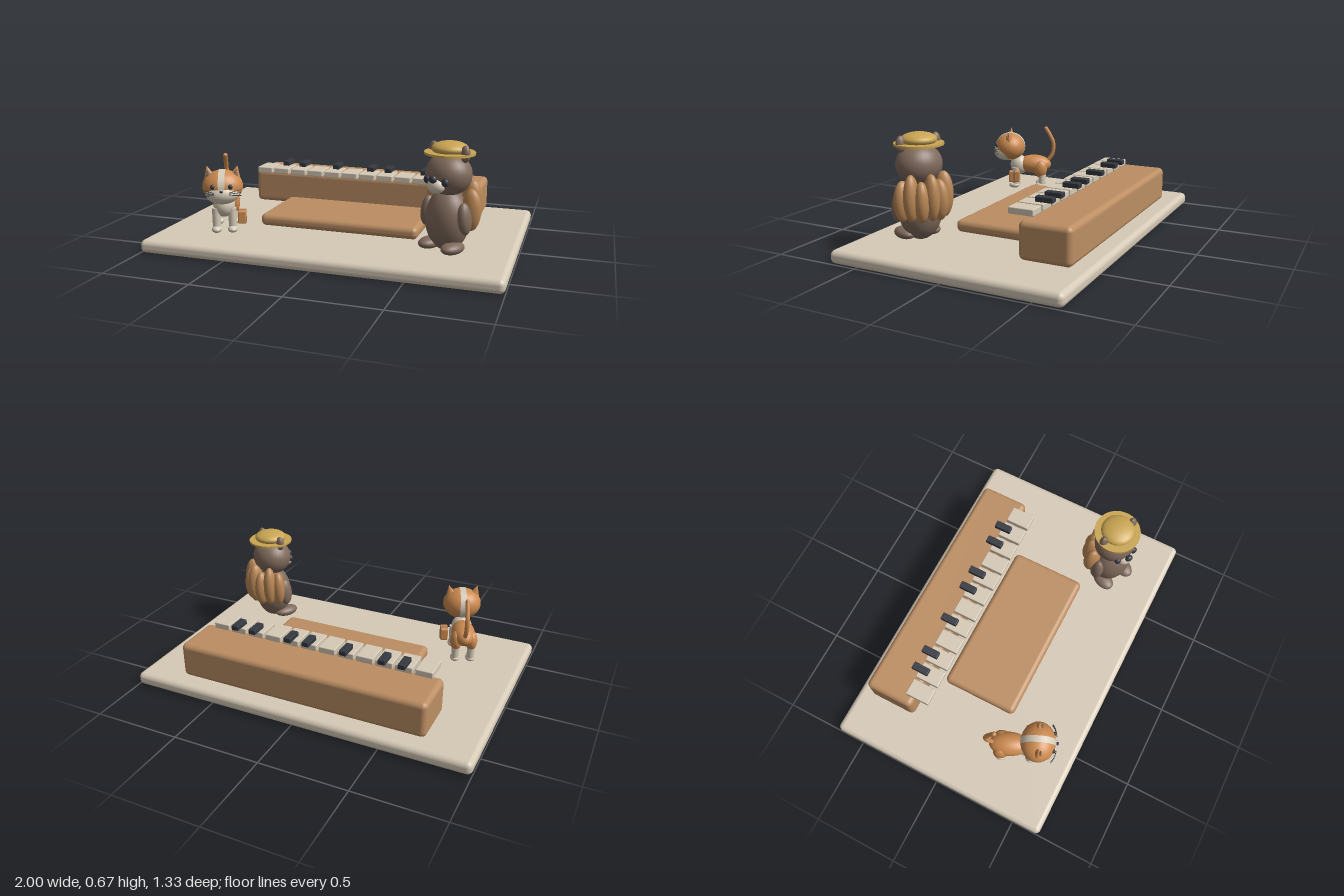
import * as THREE from 'three';
import { RoundedBoxGeometry } from 'three/addons/geometries/RoundedBoxGeometry.js';

function material(name, color) {
  const m = new THREE.MeshStandardMaterial({ color });
  m.name = name;
  return m;
}

export function createModel() {
  const cream = material('cream', 0xd6cab7);
  const wood = material('wood', 0xbc8e63);
  const ginger = material('ginger', 0xcc8a4f);
  const tan = material('tan', 0xb98755);
  const brown = material('brown', 0x806a5c);
  const straw = material('straw', 0xc9a552);
  const dark = material('dark', 0x353940);

  const root = new THREE.Group();
  root.name = 'pianoPlayground';

  const add = (parent, name, geometry, mat, pos = [0, 0, 0], rot = [0, 0, 0]) => {
    const mesh = new THREE.Mesh(geometry, mat);
    mesh.name = name;
    mesh.position.set(...pos);
    mesh.rotation.set(...rot);
    parent.add(mesh);
    return mesh;
  };
  const blob = (parent, name, mat, pos, radii, rot) => {
    const mesh = add(parent, name, new THREE.SphereGeometry(1, 28, 20), mat, pos, rot);
    mesh.scale.set(...radii);
    return mesh;
  };
  const box = (parent, name, mat, pos, size, radius, rot) =>
    add(parent, name, new RoundedBoxGeometry(...size, 4, radius), mat, pos, rot);
  const tube = (parent, name, mat, points, radius) =>
    add(parent, name, new THREE.TubeGeometry(
      new THREE.CatmullRomCurve3(points.map((p) => new THREE.Vector3(...p))), 24, radius, 10), mat);

  // Base slab, low bench and keyboard body
  box(root, 'base', cream, [0, 0.0375, 0], [2, 0.075, 1.33], 0.03);
  box(root, 'bench', wood, [0, 0.12, 0], [0.935, 0.07, 0.455], 0.03);
  box(root, 'keyboardBody', wood, [0, 0.19, -0.44], [1.46, 0.205, 0.29], 0.03);

  // Keys
  const keyX = (i) => -0.628 + i * 0.1123;
  for (let i = 0; i < 12; i++) {
    box(root, 'whiteKey', cream, [keyX(i), 0.315, -0.275], [0.097, 0.036, 0.142], 0.005);
  }
  for (const i of [1, 2, 4, 6, 7, 9, 10]) {
    box(root, 'blackKey', dark, [keyX(i), 0.348, -0.335], [0.042, 0.029, 0.1], 0.004);
  }

  // Cat, walking towards the front
  const cat = new THREE.Group();
  cat.name = 'cat';
  cat.position.set(-0.63, 0, 0.34);
  cat.rotation.y = 0.4;
  root.add(cat);
  blob(cat, 'catBody', ginger, [0, 0.245, -0.045], [0.068, 0.062, 0.115]);
  blob(cat, 'catChest', cream, [0, 0.24, 0.055], [0.06, 0.066, 0.06]);
  for (const s of [-1, 1]) {
    blob(cat, 'haunch', ginger, [s * 0.045, 0.22, -0.09], [0.034, 0.06, 0.045]);
    for (const z of [0.075, -0.1]) {
      add(cat, 'catLeg', new THREE.CylinderGeometry(0.024, 0.022, 0.13, 16), cream, [s * 0.045, 0.165, z]);
      blob(cat, 'catPaw', cream, [s * 0.045, 0.108, z + 0.01], [0.028, 0.02, 0.036]);
    }
  }
  tube(cat, 'catTail', ginger, [[0, 0.26, -0.13], [0, 0.32, -0.17], [0, 0.39, -0.175],
    [0, 0.45, -0.15], [0, 0.49, -0.125]], 0.013);
  blob(cat, 'tailTip', ginger, [0, 0.49, -0.125], [0.013, 0.013, 0.013]);

  // Satchel at the cat's side
  box(cat, 'satchel', ginger, [0.1, 0.18, 0.08], [0.045, 0.072, 0.07], 0.006);
  box(cat, 'satchelBand', brown, [0.1, 0.18, 0.08], [0.048, 0.075, 0.01], 0.002);

  const catHead = new THREE.Group();
  catHead.name = 'catHead';
  catHead.position.set(0, 0.365, 0.115);
  cat.add(catHead);
  blob(catHead, 'catSkull', ginger, [0, 0, 0], [0.112, 0.092, 0.098]);
  blob(catHead, 'catMuzzle', cream, [0, -0.032, 0.03], [0.094, 0.062, 0.08]);
  const stripe = add(catHead, 'headStripe', new THREE.CylinderGeometry(1, 1, 0.036, 40), cream,
    [0, 0, 0], [0, 0, Math.PI / 2]);
  stripe.scale.set(0.093, 1, 0.099);
  blob(catHead, 'catNose', dark, [0, -0.008, 0.107], [0.01, 0.007, 0.007]);
  for (const s of [-1, 1]) {
    add(catHead, 'catEar', new THREE.ConeGeometry(0.036, 0.075, 20), ginger, [s * 0.075, 0.08, 0], [0, 0, -s * 0.25])
      .scale.z = 0.6;
    add(catHead, 'innerEar', new THREE.ConeGeometry(0.022, 0.05, 16), brown, [s * 0.074, 0.076, 0.014], [0, 0, -s * 0.25])
      .scale.z = 0.5;
    blob(catHead, 'catEye', dark, [s * 0.048, 0.014, 0.087], [0.012, 0.015, 0.009]);
    for (const k of [-1, 0, 1]) {
      tube(catHead, 'whisker', dark, [[s * 0.04, -0.022 + k * 0.006, 0.102],
        [s * 0.075, -0.02 + k * 0.012, 0.093], [s * 0.105, -0.02 + k * 0.018, 0.075]], 0.002);
    }
  }

  // Round furry animal with a straw hat
  const bear = new THREE.Group();
  bear.name = 'furryAnimal';
  bear.position.set(0.65, 0, 0.325);
  bear.rotation.y = -0.48;
  root.add(bear);
  blob(bear, 'torso', brown, [0, 0.255, 0], [0.12, 0.167, 0.11]);
  blob(bear, 'head', brown, [0, 0.497, 0], [0.126, 0.112, 0.115]);
  blob(bear, 'muzzle', cream, [0, 0.45, 0.1], [0.05, 0.04, 0.04]);
  blob(bear, 'nose', dark, [0, 0.488, 0.128], [0.023, 0.021, 0.018]);
  for (const s of [-1, 1]) {
    blob(bear, 'eye', dark, [s * 0.058, 0.475, 0.101], [0.02, 0.022, 0.016]);
    blob(bear, 'ear', brown, [s * 0.102, 0.613, 0], [0.027, 0.044, 0.022]);
    blob(bear, 'arm', brown, [s * 0.122, 0.283, 0.015], [0.033, 0.084, 0.042], [0, 0, s * 0.12]);
    blob(bear, 'foot', brown, [s * 0.075, 0.124, 0.045], [0.05, 0.032, 0.078]);
  }

  // Bushy tail: lobes fanned round the back
  for (let i = -3; i <= 3; i++) {
    const a = i * 0.42;
    const outer = i % 2 === 0;
    blob(bear, 'tailLobe', tan,
      [Math.sin(a) * 0.128, outer ? 0.34 : 0.32, -Math.cos(a) * 0.128],
      [0.04, outer ? 0.125 : 0.11, 0.052], [0, -a, 0]);
  }

  // Hat
  add(bear, 'hatBrim', new THREE.CylinderGeometry(0.132, 0.132, 0.012, 48), straw, [0, 0.607, -0.005]);
  blob(bear, 'hatCrown', straw, [0, 0.63, -0.005], [0.096, 0.038, 0.096]);

  return root;
}
